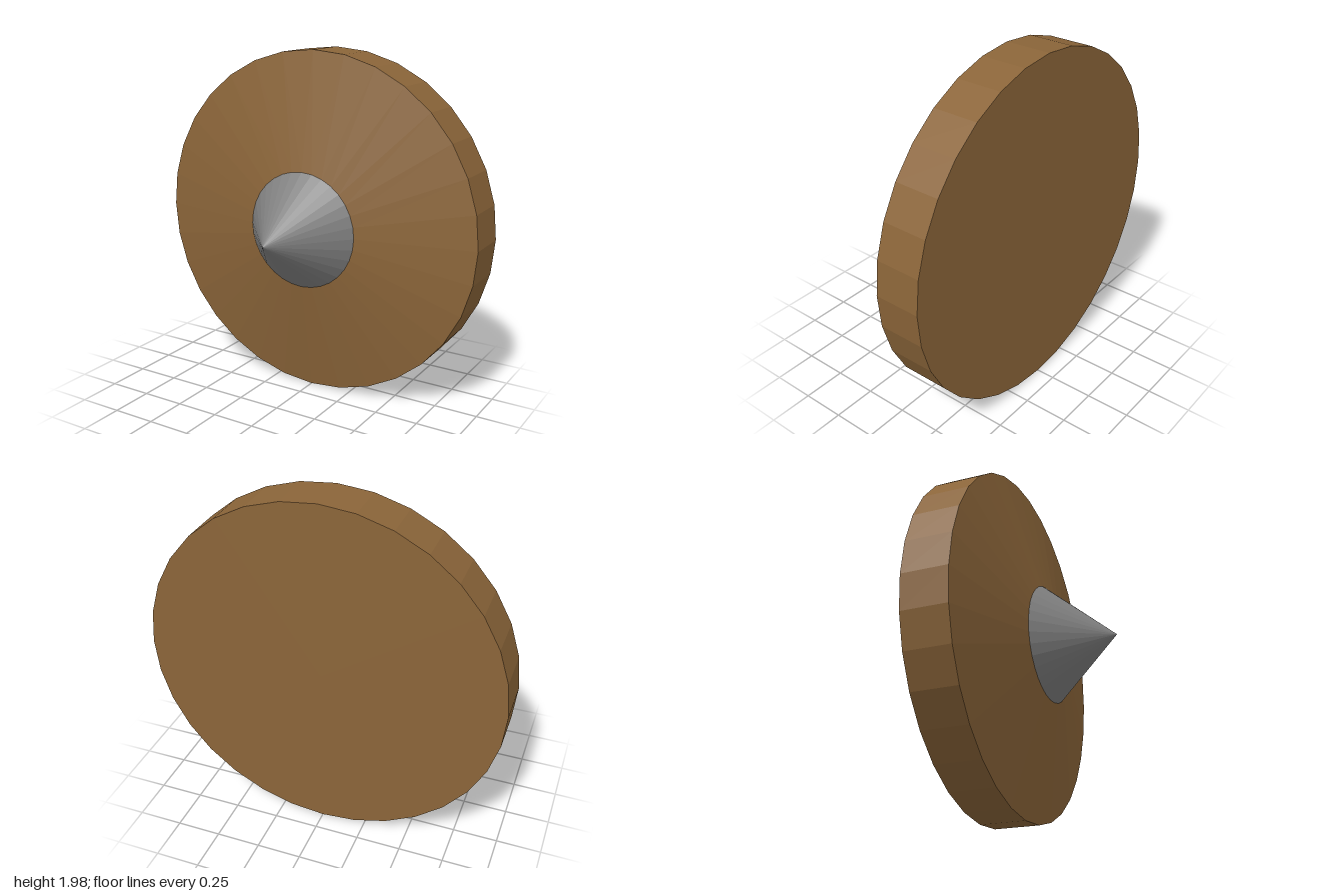
import * as THREE from 'three';

const SIDES = 32;
const CENTRE_Y = 0.988;
const TIP_SHIFT = 0.01; // the spike sits slightly off the disc's axis

// Turn a [radius, z] profile into a faceted solid of revolution about z.
function turned(name, profile, color, shiftAt) {
  const points = profile.map(([r, z]) => new THREE.Vector2(r, z));
  const geometry = new THREE.LatheGeometry(points, SIDES).rotateX(Math.PI / 2);
  const p = geometry.attributes.position;
  for (let i = 0; i < p.count; i++) p.setX(i, p.getX(i) + shiftAt(p.getZ(i)));
  geometry.computeVertexNormals();
  const mesh = new THREE.Mesh(geometry, new THREE.MeshStandardMaterial({ color, flatShading: true }));
  mesh.name = name;
  mesh.position.y = CENTRE_Y;
  return mesh;
}

export function createModel() {
  const model = new THREE.Group();
  model.name = 'spikedShield';

  // Wooden disc: flat back, straight rim, front sloping up to the spike
  const disc = turned(
    'disc',
    [[0, -0.393], [1, -0.393], [1, -0.133], [0.332, 0]],
    0x8b6539,
    (z) => (z > -0.05 ? TIP_SHIFT : 0)
  );
  disc.scale.y = CENTRE_Y; // the disc is a touch wider than tall

  // Metal spike in the middle of the front
  const spike = turned('spike', [[0, 0], [0.332, 0], [0, 0.39]], 0x808080, () => TIP_SHIFT);

  model.add(disc, spike);
  return model;
}
